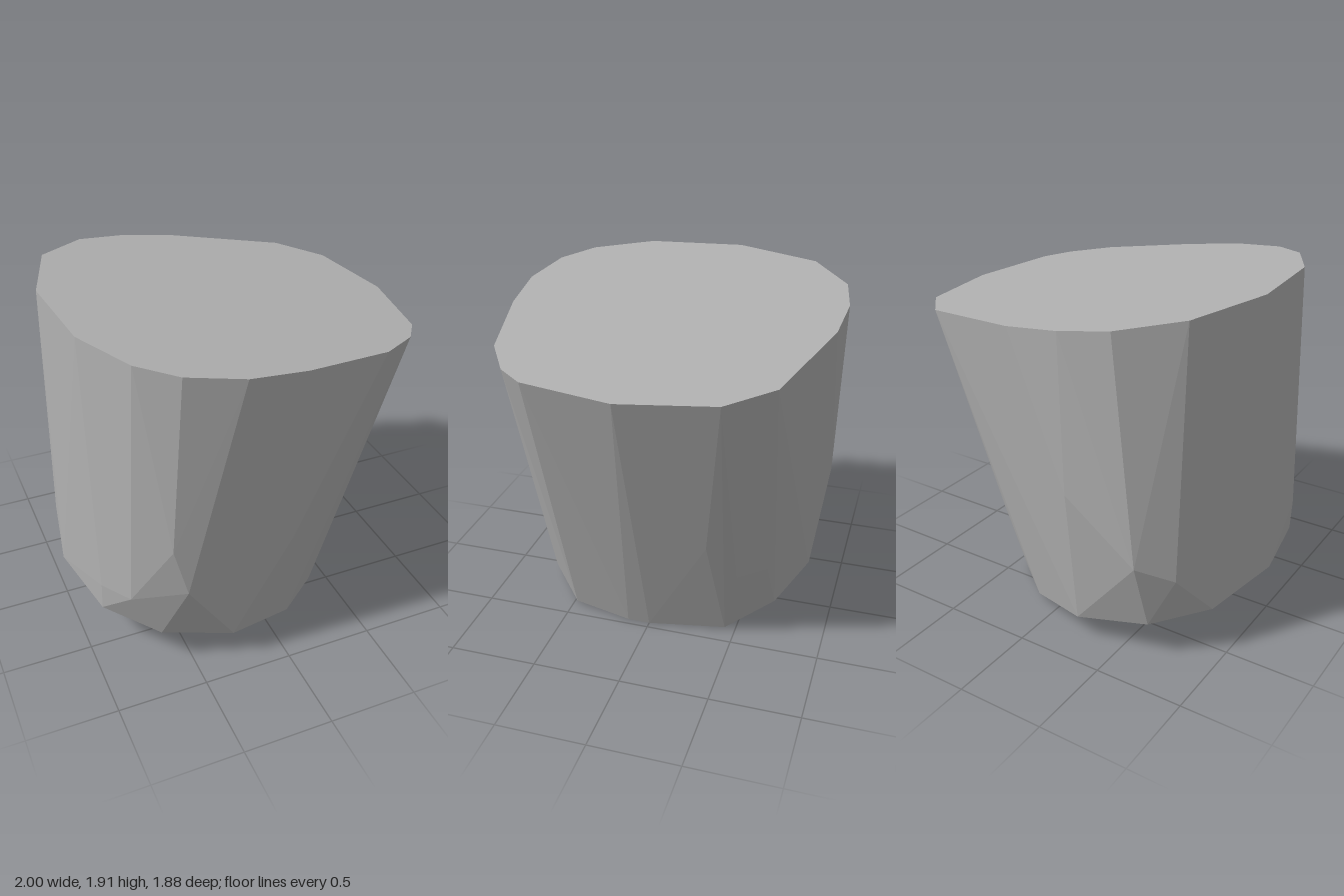
import * as THREE from 'three';
import { ConvexGeometry } from 'three/addons/geometries/ConvexGeometry.js';

export function createModel() {
  const group = new THREE.Group();
  const stone = new THREE.MeshStandardMaterial({ color: 0xb0b0b0, flatShading: true });

  // Sloping cut planes of the leaning stump
  const topY = (x) => 1.783 - 0.133 * x;
  const bottomY = (x) => 0.085 - 0.185 * x;

  // Outlines of both cuts as [x, z]
  const topRim = [
    [-0.25, -0.94], [0.07, -0.92], [0.7, -0.74], [0.91, -0.51], [1, 0], [0.91, 0.51],
    [0.81, 0.65], [0.59, 0.79], [0.08, 0.91], [-0.25, 0.94], [-0.55, 0.87], [-0.74, 0.72],
    [-0.91, 0.39], [-0.955, -0.17], [-0.8, -0.66], [-0.52, -0.89],
  ];
  const bottomRim = [
    [-0.25, -0.82], [0.12, -0.68], [0.39, -0.44], [0.46, 0], [0.46, 0.13], [0.39, 0.48],
    [0.12, 0.72], [-0.27, 0.84], [-0.66, 0.75], [-0.91, 0.48], [-1, 0], [-0.91, -0.51], [-0.66, -0.76],
  ];
  // Bulging corners on the sides as [x, y, z]
  const bulges = [
    [-0.91, 0.43, 0.5], [-0.81, 0.47, 0.71], [-0.62, 0.85, 0.87], [-0.55, 0.57, 0.89], [0.07, 0.72, 0.85],
    [0.63, 0.69, -0.38], [0.47, 0.43, -0.52], [0.29, 0.4, -0.66],
    [-0.25, 0.93, -0.91], [-0.64, 0.6, -0.87], [-0.8, 0.5, -0.72],
  ];

  const points = [
    ...topRim.map(([x, z]) => new THREE.Vector3(x, topY(x), z)),
    ...bottomRim.map(([x, z]) => new THREE.Vector3(x, bottomY(x), z)),
    ...bulges.map((p) => new THREE.Vector3(...p)),
  ];

  // Faceted solid block
  const block = new THREE.Mesh(new ConvexGeometry(points), stone);
  block.name = 'stoneBlock';
  stone.name = 'grey stone';
  group.add(block);
  return group;
}
